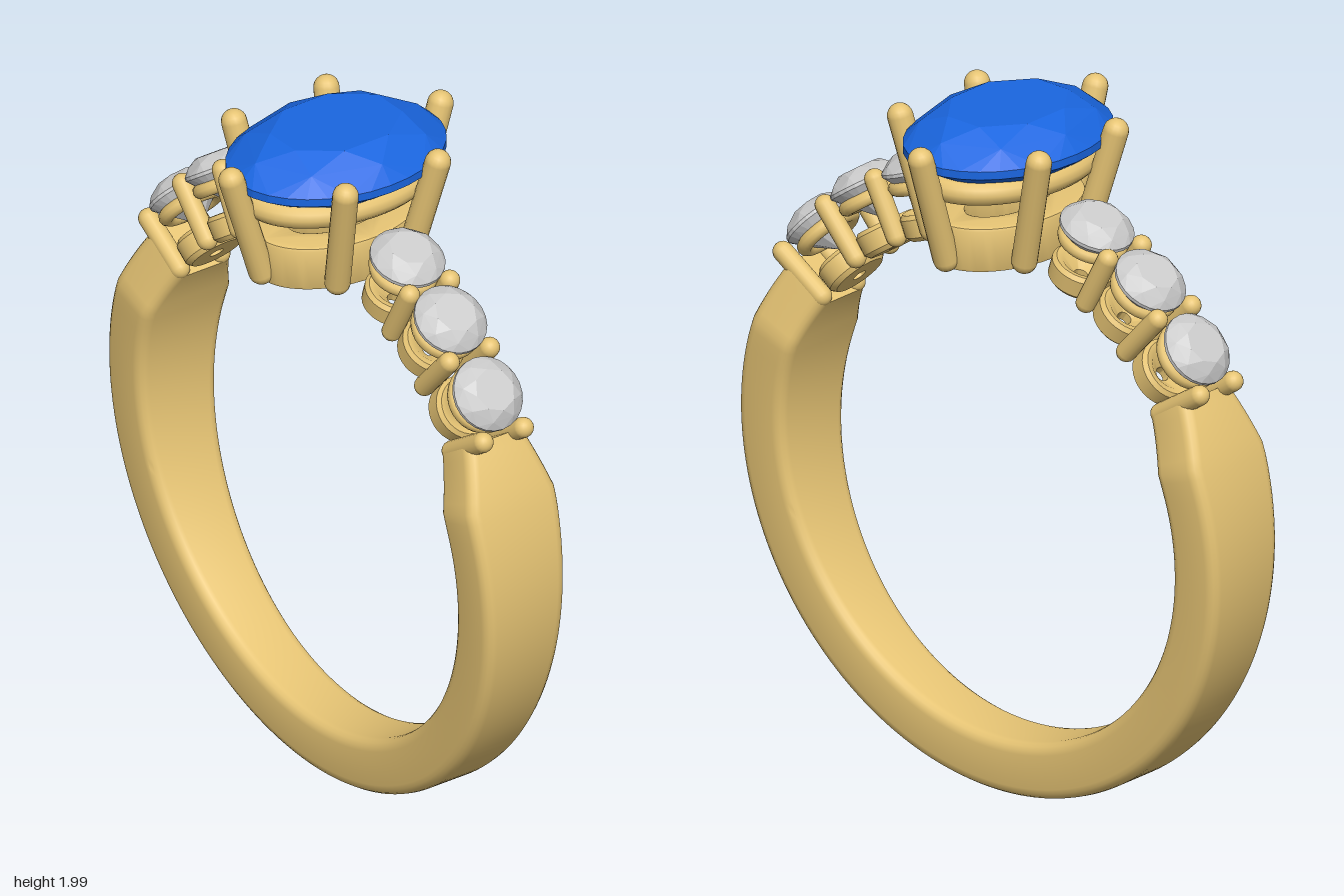
import * as THREE from 'three';
import { ConvexGeometry } from 'three/addons/geometries/ConvexGeometry.js';
import { toCreasedNormals } from 'three/addons/utils/BufferGeometryUtils.js';

const CY = 0.88, R_IN = 0.71, R_OUT = 0.87;
const rad = THREE.MathUtils.degToRad;

export function createModel() {
  const root = new THREE.Group();
  const gold = new THREE.MeshStandardMaterial({ color: 0xe6c474 });
  const blue = new THREE.MeshStandardMaterial({ color: 0x1a66e0, flatShading: true });
  const grey = new THREE.MeshStandardMaterial({ color: 0xcccccc, flatShading: true });

  const add = (parent, name, geo, mat) => {
    const m = new THREE.Mesh(geo, mat);
    m.name = name;
    parent.add(m);
    return m;
  };

  // Round-ended rod between two points
  const rod = (parent, name, a, b, r) => {
    const d = b.clone().sub(a);
    const m = add(parent, name, new THREE.CapsuleGeometry(r, d.length(), 6, 16), gold);
    m.position.copy(a).add(b).multiplyScalar(0.5);
    m.quaternion.setFromUnitVectors(new THREE.Vector3(0, 1, 0), d.normalize());
    return m;
  };

  // Faceted stone: hull of elliptical loops [scale, y, count, turn]
  const gem = (rx, rz, loops) => {
    const pts = [];
    for (const [s, y, n, turn] of loops) {
      for (let i = 0; i < n; i++) {
        const a = ((i + turn) / n) * Math.PI * 2;
        pts.push(new THREE.Vector3(Math.cos(a) * rx * s, y, Math.sin(a) * rz * s));
      }
    }
    return new ConvexGeometry(pts);
  };

  add(root, 'band', bandGeometry(), gold);

  // Side stones with their seats, along both shoulders
  const sideGem = gem(0.105, 0.105, [
    [0.58, 0.95, 8, 0], [0.84, 0.932, 8, 0.5], [1, 0.91, 24, 0],
    [1, 0.9, 24, 0], [0.55, 0.85, 8, 0.5], [0, 0.8, 1, 0],
  ]);
  const cupGeo = toCreasedNormals(new THREE.LatheGeometry([
    [0.02, 0.712], [0.075, 0.712], [0.088, 0.725], [0.09, 0.775],
    [0.08, 0.787], [0.062, 0.782], [0.02, 0.74], [0.02, 0.712],
  ].map(([x, y]) => new THREE.Vector2(x, y)), 32), 0.6);
  const seatGeo = new THREE.TorusGeometry(0.078, 0.021, 10, 32).rotateX(Math.PI / 2);

  const spoke = (name, angle) => {
    const g = new THREE.Group();
    g.name = name;
    g.position.y = CY;
    g.rotation.z = angle - Math.PI / 2;
    root.add(g);
    return g;
  };
  for (const side of [1, -1]) {
    const at = (deg) => (side > 0 ? rad(deg) : Math.PI - rad(deg));
    for (const deg of [40.5, 55, 69]) {
      const g = spoke('sideSetting', at(deg));
      add(g, 'sideStone', sideGem, grey);
      add(g, 'seatRing', seatGeo, gold).position.y = 0.862;
      add(g, 'lowerCup', cupGeo, gold);
    }
    for (const deg of [33, 48, 62]) {
      const g = spoke('sideProngs', at(deg));
      for (const z of [-0.068, 0.068]) {
        rod(g, 'sideProng', new THREE.Vector3(0, 0.738, z), new THREE.Vector3(0, 0.905, z), 0.029);
      }
    }
  }

  // Centre stone
  add(root, 'centreStone', gem(0.25, 0.325, [
    [0.6, 2, 8, 0.5], [0.84, 1.965, 8, 0], [1, 1.918, 32, 0],
    [1, 1.895, 32, 0], [0.6, 1.82, 8, 0.5], [0, 1.73, 1, 0],
  ]), blue);

  // Oval gallery rail beneath the centre stone
  const oval = [];
  for (let i = 0; i < 32; i++) {
    const a = (i / 32) * Math.PI * 2;
    oval.push(new THREE.Vector3(Math.cos(a) * 0.185, 1.833, Math.sin(a) * 0.268));
  }
  add(root, 'galleryRail', new THREE.TubeGeometry(new THREE.CatmullRomCurve3(oval, true), 72, 0.035, 12, true), gold);

  // Oval collar with an open centre
  const collar = new THREE.Shape().absellipse(0, 0, 0.162, 0.24, 0, Math.PI * 2);
  collar.holes.push(new THREE.Path().absellipse(0, 0, 0.09, 0.16, 0, Math.PI * 2, true));
  const collarGeo = new THREE.ExtrudeGeometry(collar, {
    depth: 0.11, curveSegments: 32, bevelThickness: 0.01, bevelSize: 0.01, bevelSegments: 2,
  }).rotateX(-Math.PI / 2);
  add(root, 'collar', toCreasedNormals(collarGeo, 0.6), gold).position.y = 1.6;

  // Six leaning prongs of the head
  for (const s of [1, -1]) {
    rod(root, 'headProng', new THREE.Vector3(0, 1.62, 0.252 * s), new THREE.Vector3(0, 1.94, 0.353 * s), 0.036);
    for (const x of [1, -1]) {
      rod(root, 'headProng', new THREE.Vector3(0.168 * x, 1.62, 0.12 * s),
        new THREE.Vector3(0.253 * x, 1.94, 0.156 * s), 0.036);
    }
  }
  return root;
}

// Band swept from shoulder to shoulder, widening upward, then tapering in
function bandGeometry() {
  const START = rad(33), SWEEP = rad(246), N = 123, c = 0.032, K = 4;
  const rm = (R_IN + R_OUT) / 2, h = (R_OUT - R_IN) / 2;
  const pos = [], idx = [];
  const corners = [[1, 1], [-1, 1], [-1, -1], [1, -1]];
  const M = corners.length * (K + 1);
  for (let i = 0; i <= N; i++) {
    const a = START - (SWEEP * i) / N;
    const y = CY + R_OUT * Math.sin(a);
    const deg = 33 - Math.min(i, N - i) * 2;
    let w = 0.09 + 0.057 * Math.min(1, y / 1.15);
    if (deg > 21) w -= (0.05 * (deg - 21)) / 12;
    // Rounded rectangle: u is radial, v is across the width
    corners.forEach(([su, sv], q) => {
      for (let k = 0; k <= K; k++) {
        const t = ((q + k / K) * Math.PI) / 2;
        const u = rm + su * (h - c) + c * Math.cos(t);
        const v = sv * (w - c) + c * Math.sin(t);
        pos.push(u * Math.cos(a), CY + u * Math.sin(a), v);
      }
    });
  }
  for (let i = 0; i < N; i++) {
    for (let j = 0; j < M; j++) {
      const p = i * M + j, q = i * M + ((j + 1) % M);
      idx.push(p, p + M, q, q, p + M, q + M);
    }
  }
  // Flat ends
  const last = N * M;
  for (let j = 1; j < M - 1; j++) {
    idx.push(0, j, j + 1, last, last + j + 1, last + j);
  }
  const g = new THREE.BufferGeometry();
  g.setAttribute('position', new THREE.Float32BufferAttribute(pos, 3));
  g.setIndex(orient(pos, idx));
  return toCreasedNormals(g, 0.5);
}

// Flip the winding if the closed surface has negative volume
function orient(pos, idx) {
  const v = (i) => new THREE.Vector3().fromArray(pos, i * 3);
  let volume = 0;
  for (let i = 0; i < idx.length; i += 3) {
    volume += v(idx[i]).dot(v(idx[i + 1]).cross(v(idx[i + 2])));
  }
  return volume < 0 ? idx.reverse() : idx;
}
